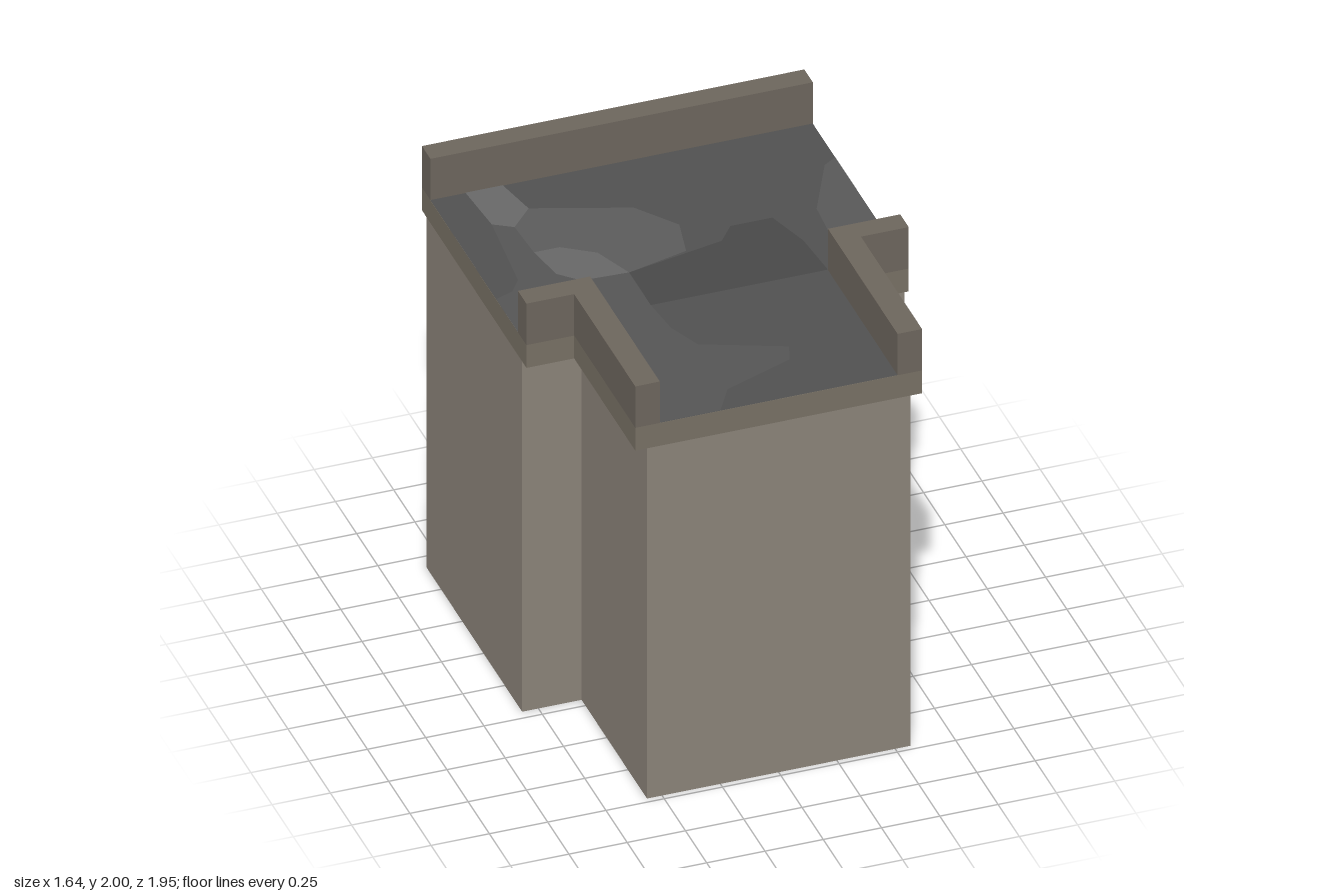
import * as THREE from 'three';

const WALL_TOP = 1.69, FLOOR = 1.8, TOP = 2;

// Plan outline given as [x, z] points
function planShape(points) {
  return new THREE.Shape(points.map(([x, z]) => new THREE.Vector2(x, -z)));
}

// Upright prism over a plan outline
function prism(name, points, y0, y1, color) {
  const geo = new THREE.ExtrudeGeometry(planShape(points), { depth: y1 - y0, bevelEnabled: false });
  geo.rotateX(-Math.PI / 2).translate(0, y0, 0);
  const mesh = new THREE.Mesh(geo, new THREE.MeshStandardMaterial({ color }));
  mesh.name = name;
  return mesh;
}

// Flat area lying on the roof deck
function patch(points, y, color) {
  const geo = new THREE.ShapeGeometry(planShape(points)).rotateX(-Math.PI / 2).translate(0, y, 0);
  const mesh = new THREE.Mesh(geo, new THREE.MeshStandardMaterial({ color }));
  mesh.name = 'roofPatch';
  return mesh;
}

// Thin wall panel between two plan points, facing right of its direction
function wall(name, [x0, z0], [x1, z1], material) {
  const geo = new THREE.PlaneGeometry(Math.hypot(x1 - x0, z1 - z0), WALL_TOP);
  geo.rotateY(-Math.atan2(z1 - z0, x1 - x0));
  geo.translate((x0 + x1) / 2, WALL_TOP / 2, (z0 + z1) / 2);
  const mesh = new THREE.Mesh(geo, material);
  mesh.name = name;
  return mesh;
}

export function createModel() {
  const model = new THREE.Group();
  model.name = 'tShapedBuilding';

  // Walls: open below, the inner-corner panels run on past each other
  const walls = new THREE.Group();
  walls.name = 'walls';
  const wallMat = new THREE.MeshStandardMaterial({ color: 0x8a8278, side: THREE.DoubleSide });
  walls.add(wall('backWall', [0.82, -0.92], [-0.82, -0.92], wallMat));
  walls.add(wall('frontWall', [-0.565, 0.975], [0.565, 0.975], wallMat));
  for (const s of [-1, 1]) {
    const run = (name, a, b) => walls.add(s > 0 ? wall(name, a, b, wallMat)
      : wall(name, [-b[0], b[1]], [-a[0], a[1]], wallMat));
    run('sideWall', [0.82, 0.205], [0.82, -0.92]);
    run('stepWall', [0.51, 0.205], [0.82, 0.205]);
    run('wingWall', [0.565, 0.975], [0.565, 0.155]);
  }
  model.add(walls);

  // Roof slab with its overhanging edge
  model.add(prism('roofSlab', [
    [-0.82, -0.975], [0.82, -0.975], [0.82, 0.255], [0.615, 0.255], [0.615, 0.975],
    [-0.615, 0.975], [-0.615, 0.255], [-0.82, 0.255],
  ], WALL_TOP, FLOOR, 0x777064));

  // Parapets
  const kerb = 0x6c655c;
  model.add(prism('backParapet',
    [[-0.82, -0.975], [0.82, -0.975], [0.82, -0.875], [-0.82, -0.875]], FLOOR, TOP, kerb));
  for (const s of [-1, 1]) {
    const corner = [[0.51, 0.155], [0.82, 0.155], [0.82, 0.255], [0.615, 0.255], [0.615, 0.975], [0.51, 0.975]];
    model.add(prism(s > 0 ? 'leftParapet' : 'rightParapet',
      corner.map(([x, z]) => [x * s, z]), FLOOR, TOP, kerb));
  }

  // Dark roof deck
  const deck = patch([
    [-0.82, -0.875], [0.82, -0.875], [0.82, 0.155], [0.51, 0.155], [0.51, 0.975],
    [-0.51, 0.975], [-0.51, 0.155], [-0.82, 0.155],
  ], FLOOR + 0.001, 0x505050);
  deck.name = 'roofDeck';
  model.add(deck);

  // Worn patches on the deck
  const patches = [
    [0x686868, [[-0.67, -0.875], [-0.51, -0.875], [-0.47, -0.68], [-0.57, -0.57], [-0.65, -0.62]]],
    [0x5b5b5b, [[-0.47, -0.68], [-0.07, -0.54], [0.06, -0.36], [0.02, -0.17], [-0.25, -0.1],
      [-0.32, -0.28], [-0.45, -0.37], [-0.56, -0.37], [-0.57, -0.57]]],
    [0x666666, [[-0.56, -0.37], [-0.45, -0.37], [-0.32, -0.28], [-0.25, -0.1], [-0.45, -0.11], [-0.53, -0.19]]],
    [0x484848, [[-0.25, -0.1], [0.18, -0.19], [0.25, -0.28], [0.43, -0.28], [0.49, -0.08],
      [0.51, 0.155], [-0.25, 0.155]]],
    [0x585858, [[0.82, -0.61], [0.76, -0.57], [0.62, -0.28], [0.59, 0.155], [0.82, 0.155]]],
    [0x555555, [[-0.82, -0.1], [-0.74, -0.13], [-0.69, -0.2], [-0.65, -0.62], [-0.57, -0.57],
      [-0.56, -0.37], [-0.53, -0.19], [-0.45, -0.11], [-0.25, -0.1], [-0.25, 0.155], [-0.82, 0.155]]],
    [0x555555, [[-0.51, 0.155], [-0.25, 0.155], [-0.23, 0.34], [-0.17, 0.49], [0.17, 0.63],
      [0.14, 0.72], [-0.17, 0.84], [-0.25, 0.975], [-0.51, 0.975]]],
  ];
  patches.forEach(([color, points]) => model.add(patch(points, FLOOR + 0.003, color)));

  return model;
}
